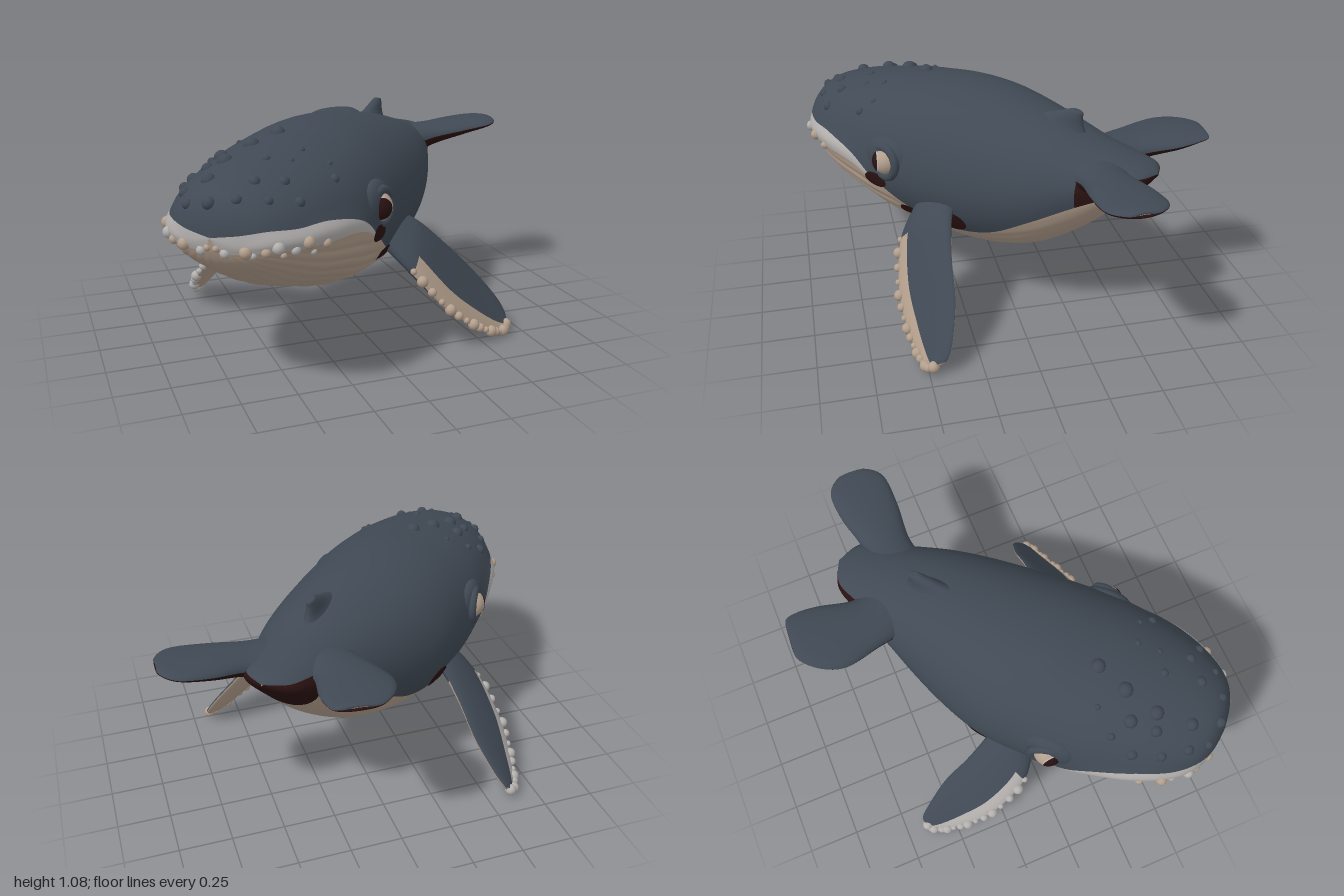
import * as THREE from 'three';

const mat = (name, color, side = THREE.FrontSide) => {
  const m = new THREE.MeshStandardMaterial({ color, side });
  m.name = name;
  return m;
};
const slate = mat('slate skin', 0x404954);
const cream = mat('cream belly', 0xb39f8d);
const grey = mat('pale grey', 0xb3b0ae);
const maroon = mat('dark maroon', 0x2a1111, THREE.DoubleSide);

const V = (x, y, z) => new THREE.Vector3(x, y, z);
// ground-plan coordinates to the body's own frame (z forward, x to its side)
const local = ([x, y, z]) => V((x + z) * Math.SQRT1_2 + 0.05, y, (z - x) * Math.SQRT1_2);

// smooth interpolation through rows of numbers, u in row units
function sample(rows, u) {
  const n = rows.length - 1, i = Math.min(Math.floor(u), n - 1), t = u - i;
  const p = k => rows[Math.max(0, Math.min(n, k))];
  return rows[0].map((_, c) => {
    const a = p(i - 1)[c], b = p(i)[c], d = p(i + 1)[c], e = p(i + 2)[c];
    return b + 0.5 * t * (d - a + t * (2 * a - 5 * b + 4 * d - e + t * (3 * (b - d) + e - a)));
  });
}

// grid surface from a point rule f(u, v), v in 0..1
function surf(parent, name, material, f, u0, u1, nu, nv, flip = false) {
  const pos = [], idx = [];
  for (let i = 0; i <= nu; i++)
    for (let j = 0; j <= nv; j++) pos.push(...f(u0 + (u1 - u0) * i / nu, j / nv).toArray());
  for (let i = 0; i < nu; i++)
    for (let j = 0; j < nv; j++) {
      const a = i * (nv + 1) + j, b = a + nv + 1;
      if (flip) idx.push(a, b + 1, b, a, a + 1, b + 1);
      else idx.push(a, b, b + 1, a, b + 1, a + 1);
    }
  const g = new THREE.BufferGeometry();
  g.setAttribute('position', new THREE.Float32BufferAttribute(pos, 3));
  g.setIndex(idx);
  g.computeVertexNormals();
  const m = new THREE.Mesh(g, material);
  m.name = name;
  parent.add(m);
}

const bumpGeo = new THREE.SphereGeometry(1, 10, 8);
function bump(parent, name, material, p, r) {
  const m = new THREE.Mesh(bumpGeo, material);
  m.name = name;
  m.position.copy(p);
  m.scale.setScalar(r);
  parent.add(m);
}

// body stations: forward position, half width, bottom, widest level, top, colour line
const BODY = [
  [1.17, 0.003, 0.755, 0.76, 0.765, 0.762], [1.15, 0.13, 0.69, 0.75, 0.85, 0.78],
  [1.10, 0.23, 0.62, 0.74, 0.92, 0.795], [1.0, 0.31, 0.55, 0.73, 0.965, 0.79],
  [0.85, 0.375, 0.46, 0.71, 1.005, 0.79], [0.65, 0.42, 0.39, 0.69, 1.045, 0.74],
  [0.5, 0.435, 0.335, 0.68, 1.065, 0.63], [0.3, 0.435, 0.30, 0.67, 1.085, 0.51],
  [0.1, 0.42, 0.29, 0.67, 1.08, 0.45], [-0.1, 0.38, 0.315, 0.68, 1.055, 0.49],
  [-0.3, 0.32, 0.395, 0.71, 1.015, 0.60], [-0.5, 0.24, 0.54, 0.77, 0.96, 0.71],
  [-0.65, 0.18, 0.685, 0.82, 0.925, 0.78], [-0.76, 0.12, 0.80, 0.85, 0.90, 0.83],
  [-0.81, 0.003, 0.865, 0.87, 0.875, 0.869],
];
const { clamp, smoothstep } = THREE.MathUtils;
const bend = s => 0.06 * smoothstep(-s, -0.2, 0.5);
function lines(u) {
  const [, , bot, mid, top, yb] = sample(BODY, u);
  const ang = y => Math.asin(clamp((y - mid) / (y > mid ? top - mid : mid - bot), -0.95, 0.95));
  const lip = 0.085 * clamp((6.2 - u) / 2.2, 0, 1) * clamp(u, 0.1, 1);
  return [ang(yb), ang(yb - lip)];
}
function bodyPoint(u, phi, lift = 0) {
  const [s, w, bot, mid, top] = sample(BODY, u), [pb, pl] = lines(u);
  const fold = Math.asin(clamp(Math.sin(phi), -1, 1));
  let k = 1 + 0.05 * clamp((6.2 - u) / 2, 0, 1) * Math.exp(-(((fold - (pb + pl) / 2) / 0.16) ** 2));
  // throat pleats
  const pleat = clamp((pl - fold) * 5, 0, 1) * clamp(u, 0, 1) * clamp((11 - u) / 3, 0, 1);
  k -= 0.018 * pleat * (1 - Math.abs(Math.sin(fold * 15)));
  const sn = Math.sin(phi), h = sn > 0 ? top - mid : mid - bot;
  return V(bend(s) + (w * k + lift) * Math.cos(phi), mid + (h * k + lift) * sn, s);
}

// fin from [lead, trail, thickness] rows; patches are [name, material, u0, u1, angle0, angle1]
function fin(parent, rows, sign, patches) {
  const R = rows.map(([a, b, t]) => [...a.toArray(), ...b.toArray(), t]);
  const l = rows.length - 1, mid = i => rows[i][0].clone().add(rows[i][1]).multiplyScalar(0.5);
  const n = rows[1][0].clone().sub(rows[1][1]).cross(mid(l).sub(mid(0))).normalize().multiplyScalar(sign);
  R.push([...mid(l).toArray(), ...mid(l).toArray(), 0]);
  const point = (u, a) => {
    const r = sample(R, u), A = V(r[0], r[1], r[2]), B = V(r[3], r[4], r[5]);
    return B.lerp(A, 0.5 + 0.5 * Math.cos(a)).addScaledVector(n, Math.sin(a) * Math.max(r[6], 0) / 2);
  };
  for (const [name, m, u0, u1, a0, a1] of patches)
    surf(parent, name, m, (u, v) => point(u, a0 + (a1 - a0) * v), u0, u1,
      Math.ceil((u1 - u0) * 6), Math.ceil((a1 - a0) * 5), sign < 0);
  return point;
}

export function createModel() {
  const model = new THREE.Group(), whale = new THREE.Group();
  model.name = 'model';
  whale.name = 'whale';
  whale.rotation.y = -Math.PI / 4;
  whale.position.set(-0.035, 0, -0.035);
  model.add(whale);
  const PI = Math.PI, end = BODY.length - 1;

  // body skins; the flank under the fluke roots is dark
  const skin = (name, m, lo, hi, u0, u1, nu, nv) => surf(whale, name, m, (u, v) => {
    const [b, l] = lines(u), p0 = lo(b, l);
    return bodyPoint(u, p0 + (hi(b, l) - p0) * v);
  }, u0, u1, nu, nv);
  const root = 0.5;
  skin('back', slate, b => b, b => PI - b, 0, 11.1, 70, 40);
  skin('tailTop', slate, () => root, () => PI - root, 11.1, end, 18, 24);
  skin('tailFlankRight', maroon, b => b, () => root, 11.1, end, 18, 6);
  skin('tailFlankLeft', maroon, () => PI - root, b => PI - b, 11.1, end, 18, 6);
  skin('belly', cream, (b, l) => PI - l, (b, l) => 2 * PI + l, 0, 11.9, 72, 130);
  skin('tailUnderside', maroon, (b, l) => PI - l, (b, l) => 2 * PI + l, 11.9, end, 14, 30);
  skin('lipRight', grey, (b, l) => l, b => b, 0, 6.2, 40, 6);
  skin('lipLeft', grey, b => PI - b, (b, l) => PI - l, 0, 6.2, 40, 6);

  // head knobs: plan x, plan z, radius
  const knobs = [
    [-0.73, 0.25, 0.02], [-0.6, 0.24, 0.014], [-0.44, 0.31, 0.036], [-0.58, 0.38, 0.038], [-0.71, 0.35, 0.034],
    [-0.83, 0.31, 0.028], [-0.79, 0.44, 0.028], [-0.72, 0.47, 0.036], [-0.82, 0.6, 0.032], [-0.91, 0.55, 0.026],
    [-0.57, 0.58, 0.02], [-0.4, 0.53, 0.016], [-0.47, 0.61, 0.014], [-0.66, 0.73, 0.026], [-0.54, 0.74, 0.026],
    [-0.85, 0.74, 0.028], [-0.63, 0.83, 0.02], [-0.5, 0.82, 0.024], [-0.3, 0.67, 0.022], [-0.3, 0.6, 0.014],
    [-0.75, 0.8, 0.022], [-0.89, 0.43, 0.024], [-0.92, 0.65, 0.022],
  ];
  for (const [x, z, r] of knobs) {
    const p = local([x, 0, z]);
    let u = 0;
    while (sample(BODY, u)[0] > p.z) u += 0.02;
    const phi = Math.acos(clamp(p.x / sample(BODY, u)[1], -0.92, 0.92));
    bump(whale, 'headKnob', slate, bodyPoint(u, phi, -0.3 * r), r);
  }
  // chin knobs along the lip
  for (let i = 0; i < 11; i++) for (const side of [0, 1]) {
    const u = 0.7 + i * 0.31, phi = lines(u)[1] + (i % 3 - 1) * 0.13;
    bump(whale, 'chinKnob', i % 2 ? grey : cream, bodyPoint(u, side ? PI - phi : phi, -0.004), 0.015 + 0.006 * (i % 3));
  }

  // dark patches at the mouth corner and around the flipper roots: station, angle, radii
  const patches = [
    ['mouthCorner', 5.95, -0.1, 0.38, 0.11], ['flipperFront', 6.85, -0.5, 0.3, 0.13],
    ['armpitRight', 8.05, -0.42, 0.42, 0.17], ['armpitLeft', 8.05, PI + 0.42, 0.3, 0.17],
  ];
  for (const [name, u0, p0, du, dp] of patches)
    surf(whale, name, maroon, (r, v) =>
      bodyPoint(u0 + du * r * Math.cos(v * 2 * PI), p0 + dp * r * Math.sin(v * 2 * PI), 0.006), 0, 1, 3, 20);

  // eyes
  for (const side of [1, -1]) {
    const eye = new THREE.Group();
    eye.name = side > 0 ? 'rightEye' : 'leftEye';
    eye.position.set(side * 0.405, 0.75, 0.45);
    whale.add(eye);
    const add = (name, geo, m, from, dir) => {
      const mesh = new THREE.Mesh(geo, m);
      mesh.name = name;
      mesh.quaternion.setFromUnitVectors(from, dir.normalize());
      eye.add(mesh);
      return mesh;
    };
    const look = V(side * 0.7, 0.04, 0.71), up = V(0, 1, 0);
    add('eyeball', new THREE.SphereGeometry(0.069, 24, 16), cream, up, look);
    add('irisRing', new THREE.SphereGeometry(0.0705, 24, 8, 0, 2 * PI, 0, 0.84), grey, up, look);
    add('iris', new THREE.SphereGeometry(0.072, 24, 8, 0, 2 * PI, 0, 0.75), maroon, up, look);
    add('socket', new THREE.TorusGeometry(0.076, 0.022, 10, 28), slate, V(0, 0, 1), V(side, 0.05, 0.2))
      .position.x = side * 0.018;
    const brow = add('browBulge', new THREE.SphereGeometry(1, 24, 16), slate, up, V(0, 1, 0));
    brow.scale.set(0.06, 0.12, 0.14);
    brow.position.x = side * -0.02;
  }

  // flippers: lead point, trail point, thickness from shoulder to tip
  const flippers = [
    [1, 'rightFlipper', cream, [
      [[0.03, 0.52, 0.45], [0.11, 0.64, 0.25], 0.13], [[0.12, 0.40, 0.54], [0.24, 0.58, 0.31], 0.10],
      [[0.28, 0.22, 0.58], [0.40, 0.44, 0.34], 0.065], [[0.44, 0.10, 0.565], [0.53, 0.31, 0.35], 0.05],
      [[0.57, 0.035, 0.53], [0.645, 0.17, 0.385], 0.04], [[0.65, 0.03, 0.50], [0.685, 0.09, 0.42], 0.025]]],
    [-1, 'leftFlipper', grey, [
      [[-0.52, 0.52, -0.01], [-0.33, 0.63, -0.10], 0.13], [[-0.65, 0.37, -0.11], [-0.40, 0.55, -0.19], 0.10],
      [[-0.71, 0.21, -0.29], [-0.45, 0.41, -0.33], 0.065], [[-0.70, 0.095, -0.45], [-0.48, 0.275, -0.47], 0.05],
      [[-0.665, 0.035, -0.57], [-0.535, 0.145, -0.59], 0.04], [[-0.63, 0.03, -0.63], [-0.575, 0.08, -0.65], 0.025]]],
  ];
  for (const [side, name, rim, rows] of flippers) {
    const g = new THREE.Group();
    g.name = name;
    whale.add(g);
    const edge = 1.05;
    const point = fin(g, rows.map(([a, b, t]) => [local(a), local(b), t]), side, [
      ['flipperTop', slate, 0, 5.2, edge, PI], ['flipperRim', rim, 1, 6, 0, edge],
      ['flipperRootRim', slate, 0, 1, 0, edge], ['flipperTip', rim, 5.2, 6, edge, PI],
      ['flipperRootUnderside', slate, 0, 1.5, PI, 2 * PI], ['flipperUnderside', cream, 1.5, 6, PI, 2 * PI],
    ]);
    for (let i = 0; i < 17; i++)
      bump(g, 'flipperKnob', rim, point(1 + i * 0.28, 0.25), 0.016 + 0.006 * ((i * 2) % 3));
  }

  // tail flukes, each slightly different in sweep
  const flukes = [
    [1, 'rightFluke', [[0.42, -0.16, 0.46, -0.5], [0.56, -0.21, 0.59, -0.44], [0.75, -0.2, 0.77, -0.48],
      [0.91, -0.21, 0.91, -0.485], [0.98, -0.28, 0.98, -0.42]]],
    [-1, 'leftFluke', [[0.14, -0.38, 0.42, -0.47], [0.1, -0.53, 0.36, -0.57], [0.05, -0.71, 0.385, -0.74],
      [0.085, -0.83, 0.385, -0.84], [0.17, -0.91, 0.36, -0.9]]],
  ];
  for (const [side, name, rows] of flukes) {
    const g = new THREE.Group();
    g.name = name;
    whale.add(g);
    const y = [0.82, 0.855, 0.885, 0.905, 0.913], t = [0.2, 0.13, 0.09, 0.055, 0.03];
    fin(g, rows.map(([a, b, c, d], i) => [local([a, y[i], b]), local([c, y[i] + 0.005, d]), t[i]]), side, [
      ['flukeTop', slate, 0, 4.6, 0, PI], ['flukeTip', cream, 4.6, 5, 0, PI],
      ['flukeUnderside', maroon, 0, 5, PI, 2 * PI],
    ]);
  }

  // dorsal fin
  const fx = 0.05;
  fin(whale, [
    [V(fx, 0.99, -0.08), V(fx, 0.92, -0.47), 0.16], [V(fx, 1.035, -0.23), V(fx, 0.99, -0.43), 0.08],
    [V(fx, 1.07, -0.33), V(fx, 1.04, -0.42), 0.05], [V(fx, 1.083, -0.37), V(fx, 1.07, -0.42), 0.03],
  ], 1, [['dorsalFin', slate, 0, 4, 0, 2 * PI]]);

  return model;
}
